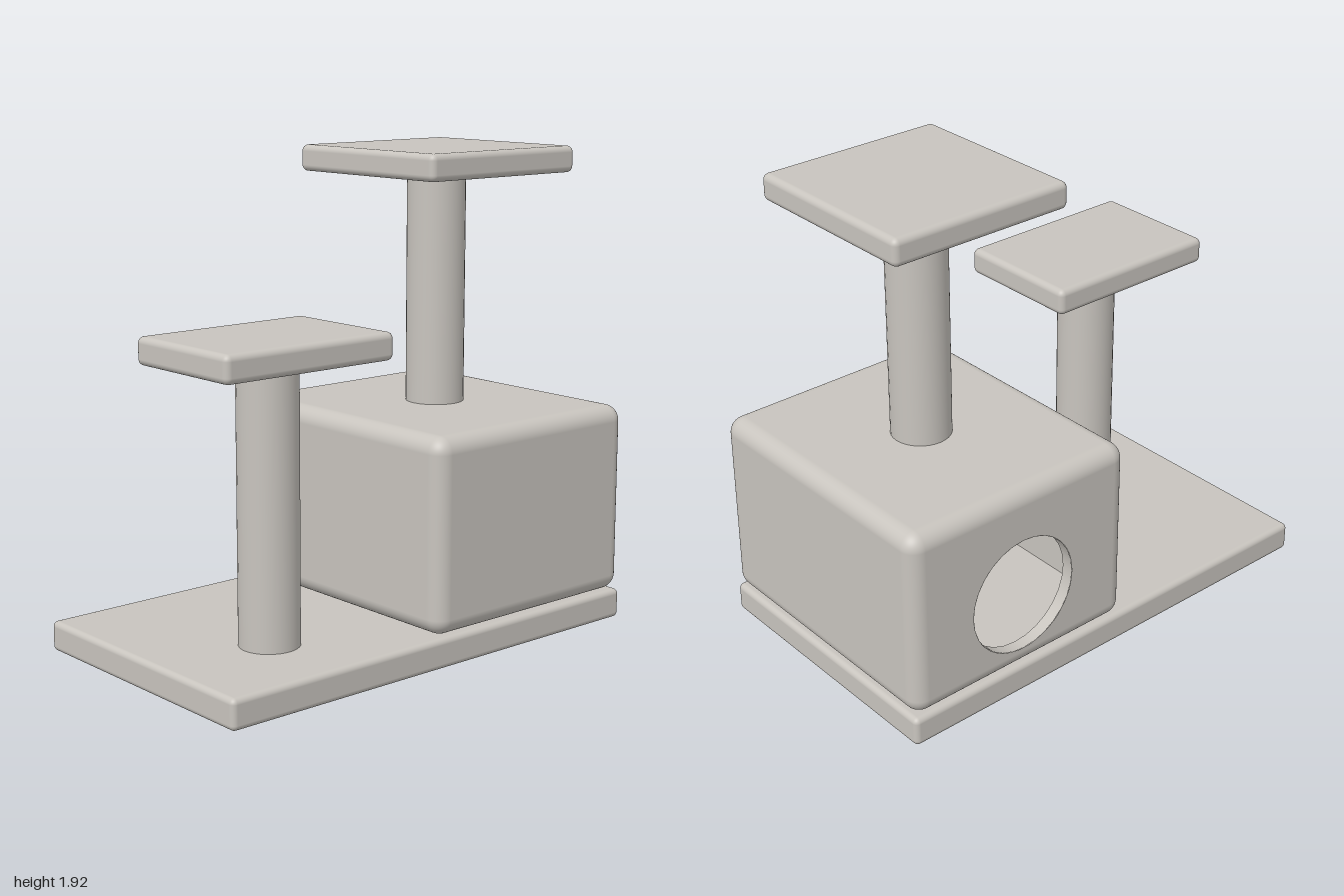
import * as THREE from 'three';
import { RoundedBoxGeometry } from 'three/addons/geometries/RoundedBoxGeometry.js';

// Double sided because the house is a hollow, open shell
const plush = new THREE.MeshStandardMaterial({ color: 0xc8c4be, side: THREE.DoubleSide });
plush.name = 'warm grey plush';

const HOLE_R = 0.24, HOLE_Y = -0.065, HOLE_SEGMENTS = 28;

function add(parent, name, geometry, x, y, z) {
  const mesh = new THREE.Mesh(geometry, plush);
  mesh.name = name;
  mesh.position.set(x, y, z);
  parent.add(mesh);
  return mesh;
}

// Rounded slab given by its centre, bottom and top
function slab(parent, name, w, d, x, z, y0, y1, r) {
  return add(parent, name, new RoundedBoxGeometry(w, y1 - y0, d, 4, r), x, (y0 + y1) / 2, z);
}

function post(parent, name, x, z, y0, y1) {
  return add(parent, name, new THREE.CylinderGeometry(0.118, 0.118, y1 - y0, 32), x, (y0 + y1) / 2, z);
}

// Drop the flat back panel of a box so that a panel with a hole can replace it
function openBack(source, depth) {
  const g = source.index ? source.toNonIndexed() : source;
  const pos = g.attributes.position, nor = g.attributes.normal;
  const p = [], n = [];
  for (let i = 0; i < pos.count; i += 3) {
    const corners = [i, i + 1, i + 2];
    if (corners.every(k => pos.getZ(k) < -depth / 2 + 1e-4)) continue;
    for (const k of corners) {
      p.push(pos.getX(k), pos.getY(k), pos.getZ(k));
      n.push(nor.getX(k), nor.getY(k), nor.getZ(k));
    }
  }
  const out = new THREE.BufferGeometry();
  out.setAttribute('position', new THREE.Float32BufferAttribute(p, 3));
  out.setAttribute('normal', new THREE.Float32BufferAttribute(n, 3));
  return out;
}

// Flat panel with the round doorway, facing the back
function doorPanel(w, h) {
  const shape = new THREE.Shape();
  shape.moveTo(-w / 2, -h / 2);
  shape.lineTo(w / 2, -h / 2);
  shape.lineTo(w / 2, h / 2);
  shape.lineTo(-w / 2, h / 2);
  shape.closePath();
  const hole = new THREE.Path();
  hole.absarc(0, HOLE_Y, HOLE_R, 0, Math.PI * 2, true);
  shape.holes.push(hole);
  return new THREE.ShapeGeometry(shape, HOLE_SEGMENTS).rotateY(Math.PI);
}

// Hollow house: outer shell, inner room and the rim joining them
function house() {
  const g = new THREE.Group();
  g.name = 'house';
  const w = 1.03, h = 0.77, d = 1.165, r = 0.065, t = 0.05;
  add(g, 'houseShell', openBack(new RoundedBoxGeometry(w, h, d, 6, r), d), 0, 0, 0);
  add(g, 'houseBackWall', doorPanel(w - 2 * r, h - 2 * r), 0, 0, -d / 2);
  const iw = w - 2 * t, ih = h - 2 * t, id = d - 2 * t;
  add(g, 'innerRoom', openBack(new THREE.BoxGeometry(iw, ih, id), id), 0, 0, 0);
  add(g, 'innerBackWall', doorPanel(iw, ih), 0, 0, -id / 2);
  const rim = new THREE.CylinderGeometry(HOLE_R, HOLE_R, t, HOLE_SEGMENTS, 1, true).rotateX(Math.PI / 2);
  add(g, 'doorwayRim', rim, 0, HOLE_Y, -d / 2 + t / 2);
  g.position.set(0.485, 0.508, 0);
  return g;
}

export function createModel() {
  const model = new THREE.Group();
  model.name = 'catTree';
  slab(model, 'base', 2, 1.16, 0, 0, 0, 0.12, 0.022);
  model.add(house());
  post(model, 'tallPost', 0.492, 0, 0.88, 1.83);
  slab(model, 'highPlatform', 0.775, 0.775, 0.492, 0, 1.82, 1.925, 0.025);
  post(model, 'shortPost', -0.532, 0.195, 0.11, 1.2);
  slab(model, 'lowPlatform', 0.775, 0.54, -0.532, 0.19, 1.19, 1.297, 0.025);
  return model;
}
